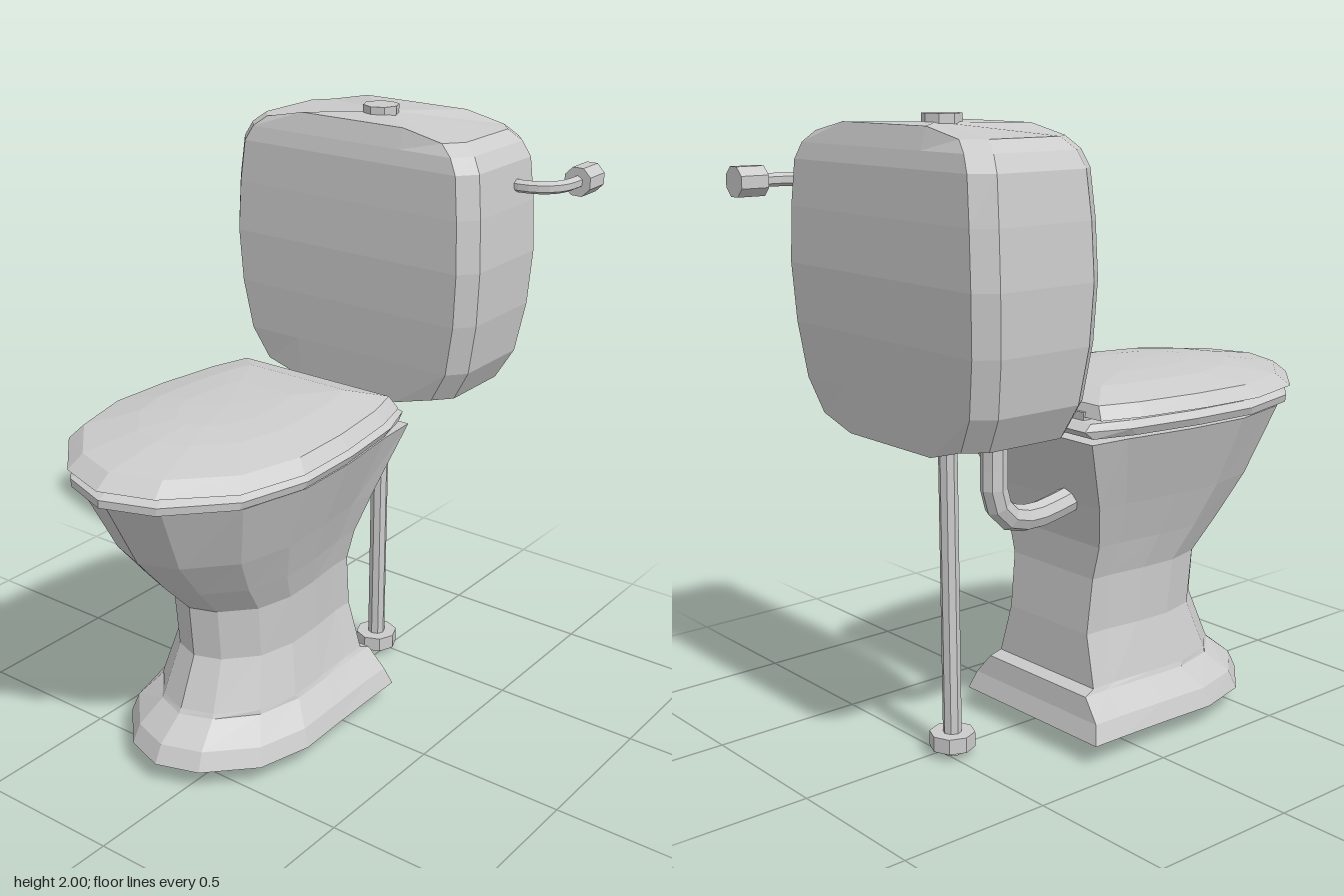
import * as THREE from 'three';

const material = new THREE.MeshStandardMaterial({ color: 0xcccccc, flatShading: true, side: THREE.DoubleSide });
const BOWL_Z = -0.095, TANK_X = 0.535, TANK_Z = -0.08;

function add(parent, name, geometry, x = 0, y = 0, z = 0) {
  const mesh = new THREE.Mesh(geometry, material);
  mesh.name = name;
  mesh.position.set(x, y, z);
  parent.add(mesh);
  return mesh;
}

// Skin a stack of equal-length rings; optional points close the first and last ring
function loft(rings, startPoint, endPoint) {
  const n = rings[0].length, pos = rings.flat(2), index = [];
  for (let r = 0; r < rings.length - 1; r++) {
    for (let i = 0; i < n; i++) {
      const j = (i + 1) % n, a = r * n, b = a + n;
      index.push(a + i, a + j, b + j, a + i, b + j, b + i);
    }
  }
  const close = (point, base, flip) => {
    if (!point) return;
    const c = pos.length / 3;
    pos.push(...point);
    for (let i = 0; i < n; i++) {
      const j = (i + 1) % n;
      index.push(base + (flip ? j : i), base + (flip ? i : j), c);
    }
  };
  close(startPoint, 0, true);
  close(endPoint, (rings.length - 1) * n, false);
  const g = new THREE.BufferGeometry();
  g.setAttribute('position', new THREE.Float32BufferAttribute(pos, 3));
  g.setIndex(index);
  const flat = g.toNonIndexed();
  flat.computeVertexNormals();
  return flat;
}

// Egg outline with a straight back: [fraction of length, fraction of half width]
const HALF = [[0.055, 0.43], [0.22, 0.85], [0.43, 1], [0.645, 0.98], [0.87, 0.9]];
function egg(y, front, back, halfWidth, backWidth) {
  const side = [...HALF, [1, backWidth]].map(([t, w]) => [
    front + t * (back - front), Math.max(w, t > 0.8 ? backWidth : 0) * halfWidth]);
  return [
    [front, y, 0],
    ...side.map(([x, w]) => [x, y, w]),
    ...side.reverse().map(([x, w]) => [x, y, -w]),
  ];
}

// Chamfered rectangle whose narrow ends are shifted by endShift in height
function tankRing(y, hx, hz, endShift = 0) {
  const cx = 0.06, cz = 0.05, m = 0.2;
  const right = [[hx - cx, hz], [hx, hz - cz], [hx, m], [hx, -m], [hx, -hz + cz], [hx - cx, -hz]];
  const left = right.map(([x, z]) => [-x, -z]);
  return [...right, ...left].map(([x, z]) => [x, y + (Math.abs(z) > m ? endShift : 0), z]);
}

function pipe(points, radius, sides) {
  const curve = new THREE.CatmullRomCurve3(points.map((p) => new THREE.Vector3(...p)), false, 'centripetal');
  return new THREE.TubeGeometry(curve, 10, radius, sides, false);
}

export function createModel() {
  const model = new THREE.Group();
  model.name = 'toilet';

  // Pedestal bowl: outside from the floor up, over the rim, then the basin
  const bowl = [
    [0.07, -0.66, 0.21, 0.33, 0.97],
    [0.13, -0.63, 0.19, 0.31, 0.96],
    [0.2, -0.54, 0.18, 0.25, 0.95],
    [0.215, -0.53, 0.14, 0.245, 0.94],
    [0.38, -0.46, 0.13, 0.205, 0.91],
    [0.56, -0.475, 0.11, 0.21, 0.91],
    [0.67, -0.58, 0.11, 0.245, 0.9],
    [0.81, -0.70, 0.15, 0.295, 0.9],
    [1.04, -0.82, 0.245, 0.38, 0.88],
    [1.04, -0.72, 0.12, 0.3, 0.7],
    [0.82, -0.6, 0.05, 0.22, 0.7],
    [0.64, -0.4, 0.0, 0.13, 0.7],
  ].map((r) => egg(...r));
  add(model, 'bowl', loft(bowl, null, [-0.2, 0.62, 0]), 0, 0, BOWL_Z);

  // Seat: closed ring section swept round the outline
  const seat = [
    [1.05, -0.85, 0.22, 0.39, 0.8],
    [1.075, -0.85, 0.25, 0.4, 0.77],
    [1.095, -0.8, 0.22, 0.375, 0.8],
    [1.095, -0.68, 0.08, 0.25, 0.65],
    [1.05, -0.68, 0.08, 0.25, 0.65],
    [1.05, -0.85, 0.22, 0.39, 0.8],
  ].map((r) => egg(...r));
  add(model, 'seat', loft(seat), 0, 0, BOWL_Z);

  // Domed lid
  const lid = [
    [1.105, -0.855, 0.2, 0.405, 0.8],
    [1.145, -0.8, 0.185, 0.37, 0.8],
    [1.175, -0.6, 0.08, 0.24, 0.8],
    [1.186, -0.46, -0.08, 0.13, 0.8],
  ].map((r) => egg(...r));
  add(model, 'lid', loft(lid, [-0.3, 1.11, 0], [-0.28, 1.189, 0]), 0, 0, BOWL_Z);

  // Lid hinges
  for (const s of [-1, 1]) {
    add(model, 'hinge', new THREE.BoxGeometry(0.03, 0.03, 0.12), 0.19, 1.105, BOWL_Z + s * 0.19);
  }

  // Cistern with bulging sides and chamfered edges
  const tank = new THREE.Group();
  tank.name = 'cistern';
  tank.position.set(TANK_X, 0, TANK_Z);
  model.add(tank);
  const rings = [
    [1.055, 0.19, 0.39, 0.04],
    [1.2, 0.205, 0.45],
    [1.37, 0.218, 0.48],
    [1.55, 0.226, 0.49],
    [1.72, 0.223, 0.482],
    [1.86, 0.216, 0.467],
    [1.91, 0.205, 0.44],
    [1.975, 0.185, 0.395, -0.03],
  ].map((r) => tankRing(...r));
  add(tank, 'cisternBody', loft(rings, [0, 1.055, 0], [0, 1.975, 0]));
  add(tank, 'topButton', new THREE.CylinderGeometry(0.06, 0.06, 0.035, 8), -0.02, 1.9825, 0);

  // Flush lever and its octagonal handle
  add(model, 'leverArm', pipe(
    [[0.6, 1.785, 0.35], [0.6, 1.785, 0.43], [0.63, 1.785, 0.49], [0.68, 1.785, 0.52], [0.77, 1.785, 0.525]], 0.021, 6));
  const handle = new THREE.CylinderGeometry(0.05, 0.05, 0.095, 8);
  handle.rotateY(Math.PI / 8).rotateZ(Math.PI / 2);
  add(model, 'leverHandle', handle, 0.803, 1.785, 0.525);

  // Water supply pipe with floor collar
  add(model, 'supplyPipe', new THREE.CylinderGeometry(0.03, 0.03, 1.07, 8), 0.475, 0.535, -0.03);
  add(model, 'floorCollar', new THREE.CylinderGeometry(0.073, 0.073, 0.05, 8), 0.475, 0.048, -0.03);

  // Flush pipe bending from the cistern into the bowl
  add(model, 'flushPipe', pipe(
    [[0.445, 1.08, -0.217], [0.445, 0.98, -0.217], [0.442, 0.87, -0.217], [0.4, 0.81, -0.217],
      [0.31, 0.788, -0.217], [0.1, 0.825, -0.217]], 0.042, 8));

  return model;
}
